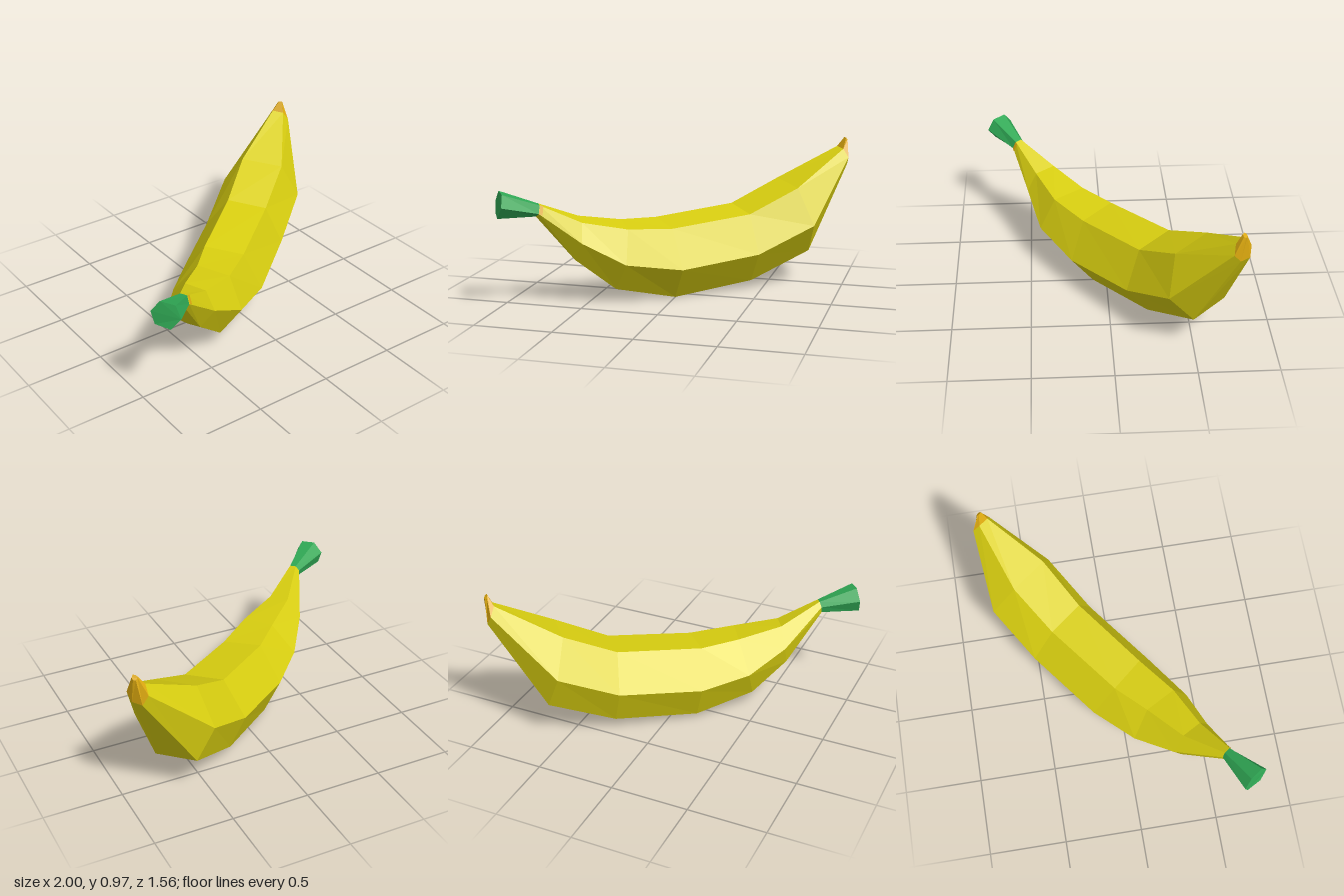
import * as THREE from 'three';

// Hexagonal cross-sections from stem to tip; corners run front, top front, top back, back, low back, low front.
const stemEnd = [[-0.895, 0.675, 0.78], [-0.905, 0.75, 0.74], [-0.96, 0.76, 0.665], [-1, 0.69, 0.625], [-0.99, 0.61, 0.65], [-0.94, 0.6, 0.74]];
const neck = [[-0.725, 0.615, 0.605], [-0.725, 0.665, 0.585], [-0.75, 0.67, 0.55], [-0.77, 0.64, 0.535], [-0.77, 0.6, 0.545], [-0.75, 0.595, 0.59]];
const middle = [
  [[-0.48, 0.42, 0.51], [-0.5, 0.54, 0.45], [-0.57, 0.557, 0.33], [-0.63, 0.44, 0.26], [-0.62, 0.31, 0.32], [-0.55, 0.3, 0.455]],
  [[-0.22, 0.28, 0.43], [-0.24, 0.487, 0.33], [-0.35, 0.507, 0.14], [-0.47, 0.32, 0.04], [-0.45, 0.12, 0.16], [-0.32, 0.097, 0.34]],
  [[0.09, 0.22, 0.23], [0, 0.467, 0.15], [-0.17, 0.495, -0.04], [-0.24, 0.275, -0.19], [-0.17, 0.035, -0.11], [0, 0, 0.09]],
  [[0.51, 0.27, -0.1], [0.43, 0.517, -0.18], [0.26, 0.545, -0.38], [0.18, 0.325, -0.52], [0.25, 0.085, -0.45], [0.43, 0.057, -0.24]],
  [[0.83, 0.43, -0.33], [0.71, 0.67, -0.37], [0.53, 0.695, -0.58], [0.49, 0.48, -0.74], [0.59, 0.25, -0.7], [0.77, 0.225, -0.49]],
];
const crown = [[0.998, 0.84, -0.67], [0.96, 0.895, -0.68], [0.91, 0.905, -0.735], [0.91, 0.85, -0.78], [0.945, 0.79, -0.77], [0.985, 0.79, -0.71]];
const tip = [[0.982, 0.955, -0.718], [0.972, 0.968, -0.712], [0.958, 0.968, -0.725], [0.955, 0.955, -0.738], [0.967, 0.945, -0.742], [0.98, 0.945, -0.732]];

// Skin a row of rings, optionally closing either end.
function loft(name, rings, material, capStart, capEnd) {
  const pos = [];
  const tri = (a, b, c) => pos.push(...a, ...b, ...c);
  const n = rings[0].length;
  for (let i = 0; i < rings.length - 1; i++) {
    for (let j = 0; j < n; j++) {
      const k = (j + 1) % n;
      const [r, s] = [rings[i], rings[i + 1]];
      tri(r[j], s[j], r[k]);
      tri(r[k], s[j], s[k]);
    }
  }
  const last = rings[rings.length - 1];
  for (let j = 1; j < n - 1; j++) {
    if (capStart) tri(rings[0][0], rings[0][j], rings[0][j + 1]);
    if (capEnd) tri(last[0], last[j + 1], last[j]);
  }
  return makeMesh(name, pos, material);
}

function makeMesh(name, pos, material) {
  const geo = new THREE.BufferGeometry();
  geo.setAttribute('position', new THREE.Float32BufferAttribute(pos, 3));
  geo.computeVertexNormals();
  const mesh = new THREE.Mesh(geo, material);
  mesh.name = name;
  return mesh;
}

export function createModel() {
  const peelYellow = new THREE.MeshStandardMaterial({ color: 0xd9cf10, flatShading: true });
  const stemGreen = new THREE.MeshStandardMaterial({ color: 0x30a955, flatShading: true });
  const ripeOrange = new THREE.MeshStandardMaterial({ color: 0xdfab10, flatShading: true });
  peelYellow.name = 'peelYellow';
  stemGreen.name = 'stemGreen';
  ripeOrange.name = 'ripeOrange';

  const group = new THREE.Group();
  group.name = 'banana';
  group.add(
    loft('stem', [stemEnd, neck], stemGreen, true, false),
    loft('peel', [neck, ...middle, crown], peelYellow, false, false),
    loft('blossomTip', [crown, tip], ripeOrange, false, true),
  );

  // Small ripe patch on the front of the neck, lifted just off the peel
  const along = (j, t) => neck[j].map((v, a) => v + (middle[0][j][a] - v) * t + 0.003);
  const [a, b, c, d] = [along(0, 0), along(1, 0), along(1, 0.08), along(0, 0.08)];
  group.add(makeMesh('neckPatch', [...a, ...d, ...b, ...b, ...d, ...c], ripeOrange));
  return group;
}
